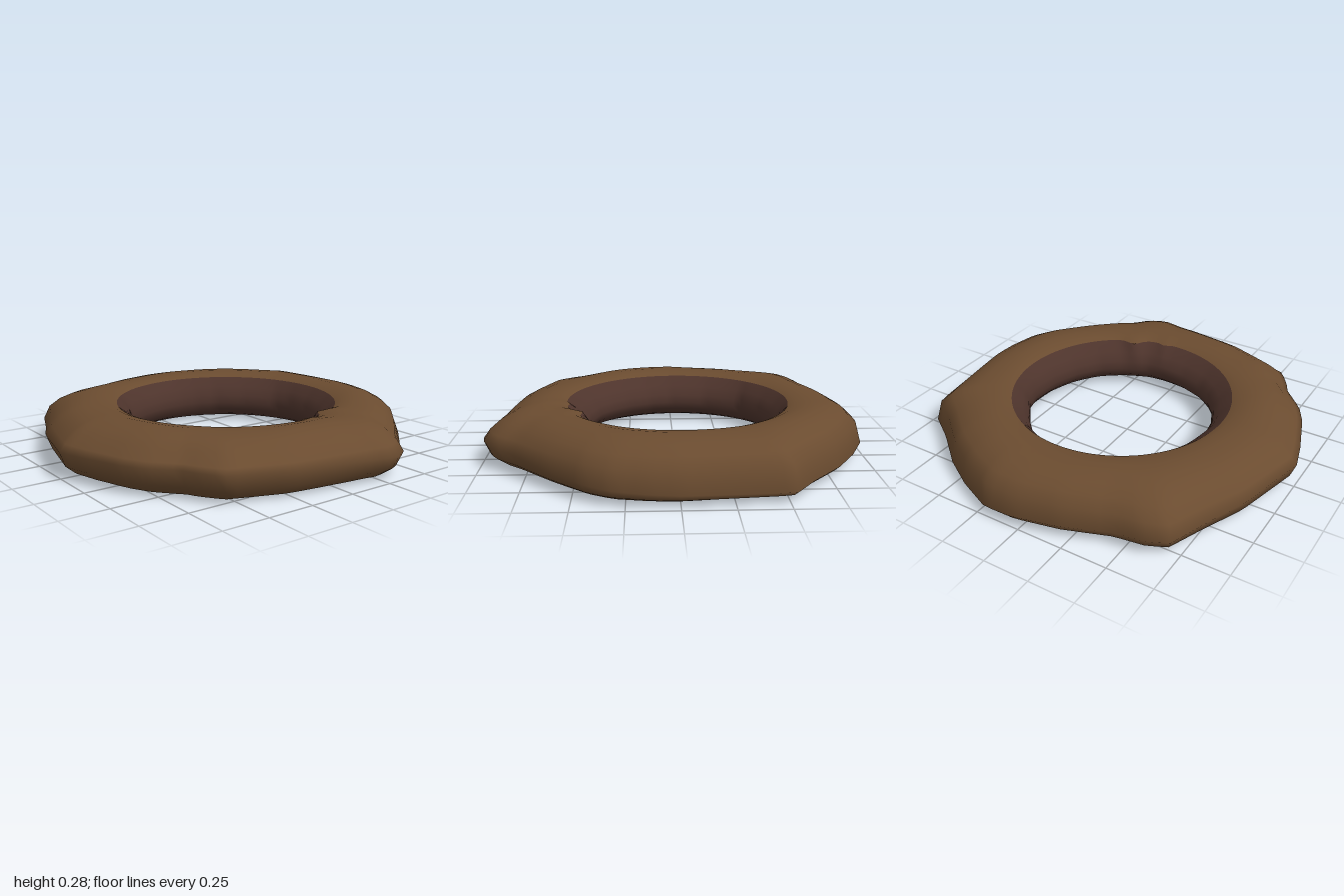
import * as THREE from 'three';

const STEPS = 120;

// Outlines seen from above, as x, z pairs
const OUTER = [
  [-1, 0], [-0.96, -0.15], [-0.9, -0.38], [-0.8, -0.6], [-0.72, -0.8], [-0.62, -0.845], [-0.45, -0.865],
  [-0.2, -0.95], [0.04, -1], [0.2, -1], [0.4, -0.91], [0.58, -0.8], [0.77, -0.64], [0.93, -0.53],
  [0.96, -0.25], [0.99, 0], [0.985, 0.14], [0.95, 0.33], [0.88, 0.45], [0.7, 0.64], [0.5, 0.83],
  [0.4, 0.95], [0.29, 1], [0.2, 0.98], [0, 0.95], [-0.28, 0.91], [-0.59, 0.8], [-0.67, 0.68],
  [-0.69, 0.63], [-0.82, 0.49], [-0.88, 0.38], [-0.96, 0.15],
];
const HOLE = [
  [-0.48, 0], [-0.45, -0.2], [-0.36, -0.4], [-0.2, -0.49], [-0.05, -0.535], [0.08, -0.545], [0.17, -0.53],
  [0.28, -0.48], [0.4, -0.36], [0.52, -0.2], [0.545, -0.1], [0.53, 0.06], [0.48, 0.2], [0.39, 0.33],
  [0.27, 0.41], [0.14, 0.47], [0.05, 0.47], [-0.1, 0.45], [-0.24, 0.4], [-0.33, 0.33], [-0.4, 0.25], [-0.46, 0.12],
];

// Distance from the origin to a closed outline along an angle
function radiusAt(outline, angle) {
  const dx = Math.cos(angle), dz = Math.sin(angle);
  for (let i = 0; i < outline.length; i++) {
    const [ax, az] = outline[i], [bx, bz] = outline[(i + 1) % outline.length];
    const sa = dx * az - dz * ax, sb = dx * bz - dz * bx;
    if (sa * sb > 0 || sa === sb) continue;
    const t = sa / (sa - sb);
    const r = (ax + (bx - ax) * t) * dx + (az + (bz - az) * t) * dz;
    if (r > 0) return r;
  }
  return 0.5;
}

// Seam between body and inner wall: an off-centre circle, with ripples at the front on top
function seamRadius(angle, rippled) {
  const r = 0.6 + 0.02 * Math.cos(angle) - 0.02 * Math.sin(angle);
  const dip = (at, depth, width) => depth * Math.exp(-(((angle - at) / width) ** 2));
  return rippled ? r - dip(1.1, 0.05, 0.09) - dip(1.43, 0.02, 0.05) : r;
}

// Sweeps a cross-section, given as [radius, height] points per angle, around the ring
function sweep(section) {
  const positions = [], index = [];
  let count = 0;
  for (let i = 0; i < STEPS; i++) {
    const angle = (i / STEPS) * Math.PI * 2;
    const points = section(angle);
    count = points.length;
    for (const [r, y] of points) positions.push(r * Math.cos(angle), y, r * Math.sin(angle));
  }
  for (let i = 0; i < STEPS; i++) {
    for (let j = 0; j < count - 1; j++) {
      const a = i * count + j, b = ((i + 1) % STEPS) * count + j;
      index.push(a, b, a + 1, b, b + 1, a + 1);
    }
  }
  const geometry = new THREE.BufferGeometry();
  geometry.setAttribute('position', new THREE.Float32BufferAttribute(positions, 3));
  geometry.setIndex(index);
  geometry.computeVertexNormals();
  return geometry;
}

// Rounded top, irregular rim and flat underside
function bodySection(angle) {
  const outer = radiusAt(OUTER, angle);
  const top = seamRadius(angle, true), bottom = seamRadius(angle, false);
  const rimY = 0.1 + 0.035 * (Math.sin(angle) - Math.cos(angle));
  const wave = 0.004 * Math.sin(angle * 5);
  const at = (from, t, y) => [from + (outer - from) * t, y];
  return [
    at(top, 0, 0.255), at(top, 0.1, 0.27), at(top, 0.27, 0.277 + wave), at(top, 0.45, 0.272 + wave),
    at(top, 0.62, 0.255), at(top, 0.78, 0.222), at(top, 0.92, 0.172),
    at(top, 1, rimY), at(bottom, 0.93, rimY * 0.35 + 0.01), at(bottom, 0.8, 0.012),
    at(bottom, 0.62, 0.003), at(bottom, 0.3, 0), at(bottom, 0, 0.015),
  ];
}

// Inner wall bulging into the hole
function wallSection(angle) {
  const hole = radiusAt(HOLE, angle);
  const top = seamRadius(angle, true), bottom = seamRadius(angle, false);
  const mix = (seam, t, y) => [seam + (hole - seam) * t, y];
  return [
    mix(bottom, 0, 0.015), mix(bottom, 0.5, 0.035), mix(bottom, 0.88, 0.07), mix(bottom, 1, 0.11),
    mix(top, 0.92, 0.155), mix(top, 0.6, 0.205), mix(top, 0, 0.255),
  ];
}

export function createModel() {
  const brown = new THREE.MeshStandardMaterial({ color: 0x6b4c30 });
  brown.name = 'brown';
  const darkBrown = new THREE.MeshStandardMaterial({ color: 0x4e342c });
  darkBrown.name = 'darkBrown';

  const body = new THREE.Mesh(sweep(bodySection), brown);
  body.name = 'ringBody';
  const wall = new THREE.Mesh(sweep(wallSection), darkBrown);
  wall.name = 'innerWall';

  const group = new THREE.Group();
  group.name = 'ring';
  group.add(body, wall);
  return group;
}
